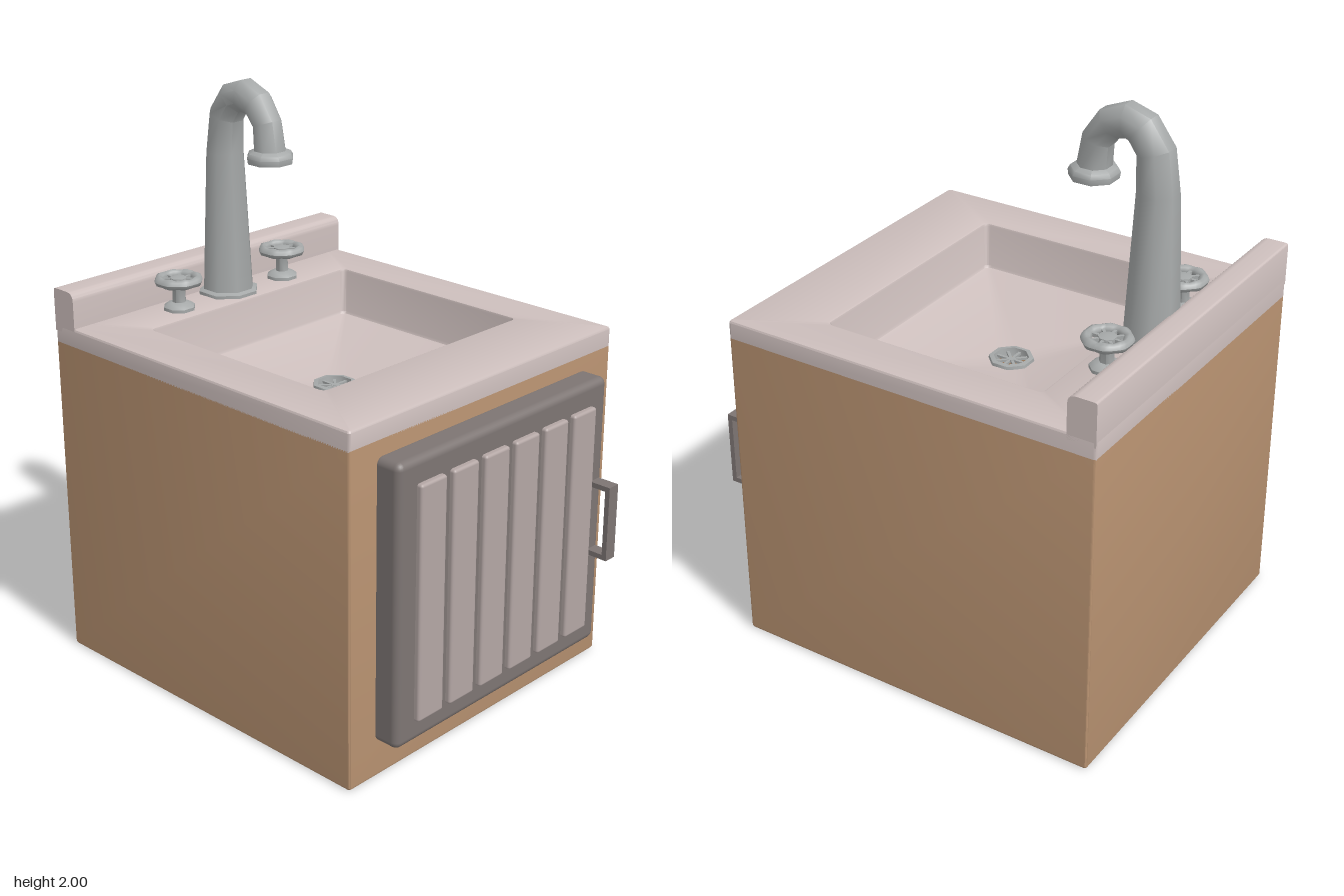
import * as THREE from 'three';
import { toCreasedNormals } from 'three/addons/utils/BufferGeometryUtils.js';
import { RoundedBoxGeometry } from 'three/addons/geometries/RoundedBoxGeometry.js';

const mat = (color, side = THREE.FrontSide) => new THREE.MeshStandardMaterial({ color, side });
const wood = mat(0xbd9674, THREE.DoubleSide);
const stone = mat(0xcdbfbd, THREE.DoubleSide);
const slatMat = mat(0xb3a6a4);
const dark = mat(0x7d7573);
const metal = mat(0xa6a9a9, THREE.DoubleSide);

function add(parent, name, geometry, material, x = 0, y = 0, z = 0) {
  const mesh = new THREE.Mesh(geometry, material);
  mesh.name = name;
  mesh.position.set(x, y, z);
  parent.add(mesh);
  return mesh;
}

// Skins a list of closed rings that all have the same point count
function loft(rings, crease) {
  const n = rings[0].length, index = [];
  for (let i = 0; i < rings.length - 1; i++)
    for (let j = 0; j < n; j++) {
      const a = i * n + j, b = i * n + (j + 1) % n;
      index.push(a, b, b + n, a, b + n, a + n);
    }
  const g = new THREE.BufferGeometry().setFromPoints(rings.flat());
  g.setIndex(index);
  return toCreasedNormals(g, crease);
}

// Horizontal rounded rectangle
function rect(x0, x1, z0, z1, y, r) {
  const pts = [];
  const corners = [[x1 - r, z0 + r], [x0 + r, z0 + r], [x0 + r, z1 - r], [x1 - r, z1 - r]];
  corners.forEach(([cx, cz], k) => {
    for (let s = 0; s <= 4; s++) {
      const a = (k + s / 4) * Math.PI / 2;
      pts.push(new THREE.Vector3(cx + r * Math.cos(a), y, cz - r * Math.sin(a)));
    }
  });
  return pts;
}

// Rectangles measured inward from the outer body or the basin opening
const body = (d, y) => rect(-0.633 + d, 0.633 - d, -0.77 + d, 0.6 - d, y, 0.008);
const bowl = (d, y) => rect(-0.45 + d, 0.473 - d, -0.49 + d, 0.317 - d, y, 0.02);

// Octagonal turned part from [radius, height] pairs
function turned(points, sides = 8) {
  const g = new THREE.LatheGeometry(points.map(p => new THREE.Vector2(...p)), sides, Math.PI / 8);
  return toCreasedNormals(g, 0.85);
}

function buildFaucet() {
  const g = new THREE.Group();
  g.name = 'faucet';
  add(g, 'faucetBase', turned([[0.108, 1.22], [0.108, 1.236], [0.085, 1.245]]), metal, 0.005, 0, -0.605);
  // Path as [y, z, radius]
  const path = [[1.23, -0.605, 0.092], [1.73, -0.605, 0.068], [1.86, -0.592, 0.062], [1.925, -0.545, 0.06],
    [1.942, -0.495, 0.058], [1.92, -0.435, 0.055], [1.86, -0.392, 0.052], [1.76, -0.38, 0.057]];
  const X = new THREE.Vector3(1, 0, 0);
  const at = i => new THREE.Vector3(0.005, path[i][0], path[i][1]);
  const rings = path.map(([, , r], i) => {
    const t = at(Math.min(i + 1, path.length - 1)).sub(at(Math.max(i - 1, 0))).normalize();
    if (i < 2) t.set(0, 1, 0);
    const n = t.cross(X);
    return Array.from({ length: 8 }, (_, k) => {
      const a = (k + 0.5) * Math.PI / 4;
      return at(i).addScaledVector(X, r * Math.cos(a)).addScaledVector(n, r * Math.sin(a));
    });
  });
  add(g, 'faucetNeck', loft(rings, 0.85), metal);
  add(g, 'spoutRim', turned([[0.045, 1.80], [0.045, 1.73], [0.08, 1.73], [0.083, 1.75], [0.076, 1.764],
    [0.05, 1.775]]), metal, 0.005, 0, -0.38);
  return g;
}

function buildTap(x) {
  const g = new THREE.Group();
  g.name = x > 0 ? 'leftTap' : 'rightTap';
  g.position.set(x, 1.222, -0.58);
  add(g, 'tapStem', turned([[0.056, 0], [0.056, 0.014], [0.04, 0.026], [0.024, 0.03], [0.022, 0.085],
    [0.032, 0.095], [0.03, 0.116], [0, 0.122]]), metal);
  // Wheel rim swells between the spokes
  const rim = new THREE.TorusGeometry(0.066, 0.018, 8, 32);
  const p = rim.attributes.position;
  for (let i = 0; i < p.count; i++) {
    const a = Math.atan2(p.getY(i), p.getX(i));
    const k = 0.94 - 0.1 * Math.cos(8 * a);
    const r = 0.066 + (Math.hypot(p.getX(i), p.getY(i)) - 0.066) * k;
    p.setXYZ(i, r * Math.cos(a), r * Math.sin(a), p.getZ(i) * k);
  }
  rim.rotateX(Math.PI / 2);
  rim.computeVertexNormals();
  add(g, 'tapWheel', rim, metal, 0, 0.107, 0);
  for (let i = 0; i < 8; i++) {
    const spoke = new THREE.BoxGeometry(0.045, 0.012, 0.01).translate(0.042, 0, 0).rotateY(i * Math.PI / 4);
    add(g, 'tapSpoke', spoke, metal, 0, 0.107, 0);
  }
  return g;
}

function buildDrain() {
  const g = new THREE.Group();
  g.name = 'drain';
  g.position.set(0.012, 1.0, -0.087);
  add(g, 'drainRing', turned([[0.079, -0.005], [0.076, 0.012], [0.06, 0.014], [0.055, -0.015]]), metal);
  add(g, 'drainHub', new THREE.CylinderGeometry(0.014, 0.014, 0.01, 8), metal);
  for (let i = 0; i < 4; i++)
    add(g, 'drainBar', new THREE.BoxGeometry(0.114, 0.008, 0.01).rotateY(i * Math.PI / 4), metal);
  return g;
}

function buildDoor() {
  const g = new THREE.Group();
  g.name = 'door';
  add(g, 'doorPanel', new RoundedBoxGeometry(1.02, 0.975, 0.11, 3, 0.025), dark, -0.005, 0.6175, 0.635);
  for (let i = 0; i < 6; i++)
    add(g, 'doorSlat', new RoundedBoxGeometry(0.118, 0.815, 0.04, 2, 0.01), slatMat, -0.376 + i * 0.149, 0.615, 0.69);
  // Bracket-shaped pull
  add(g, 'handleBar', new THREE.BoxGeometry(0.047, 0.27, 0.018), dark, 0.462, 0.61, 0.761);
  for (const y of [0.484, 0.736])
    add(g, 'handleArm', new THREE.BoxGeometry(0.047, 0.018, 0.08), dark, 0.462, y, 0.722);
  return g;
}

export function createModel() {
  const model = new THREE.Group();
  model.name = 'sinkCabinet';

  // Cabinet with a slightly eased bottom edge
  add(model, 'cabinet', loft([rect(-0.02, 0.02, -0.1, -0.06, 0, 0.008), body(0.01, 0), body(0.003, 0.003),
    body(0, 0.01), body(0, 1.16)], 0.5), wood);

  // Countertop, basin walls and floor sloping to the drain in one skin
  add(model, 'countertop', loft([body(0.004, 1.155), body(0, 1.156), body(0, 1.216), body(0.003, 1.222),
    body(0.01, 1.225), bowl(-0.008, 1.225), bowl(-0.002, 1.222), bowl(0, 1.215), bowl(0.006, 1.065),
    bowl(0.01, 1.056), bowl(0.018, 1.052), rect(-0.048, 0.072, -0.147, -0.027, 1.0, 0.055)], 0.5), stone);

  // Backsplash with rounded top edges
  const s = new THREE.Shape();
  s.moveTo(0.77, 1.2);
  s.lineTo(0.77, 1.34);
  s.quadraticCurveTo(0.77, 1.35, 0.76, 1.35);
  s.lineTo(0.7, 1.35);
  s.quadraticCurveTo(0.67, 1.35, 0.67, 1.32);
  s.lineTo(0.67, 1.2);
  const splash = new THREE.ExtrudeGeometry(s, { depth: 1.266, bevelEnabled: false, curveSegments: 5 });
  splash.rotateY(Math.PI / 2).translate(-0.633, 0, 0);
  add(model, 'backsplash', toCreasedNormals(splash, 0.6), stone);

  model.add(buildDoor(), buildFaucet(), buildTap(0.245), buildTap(-0.247), buildDrain());
  return model;
}
